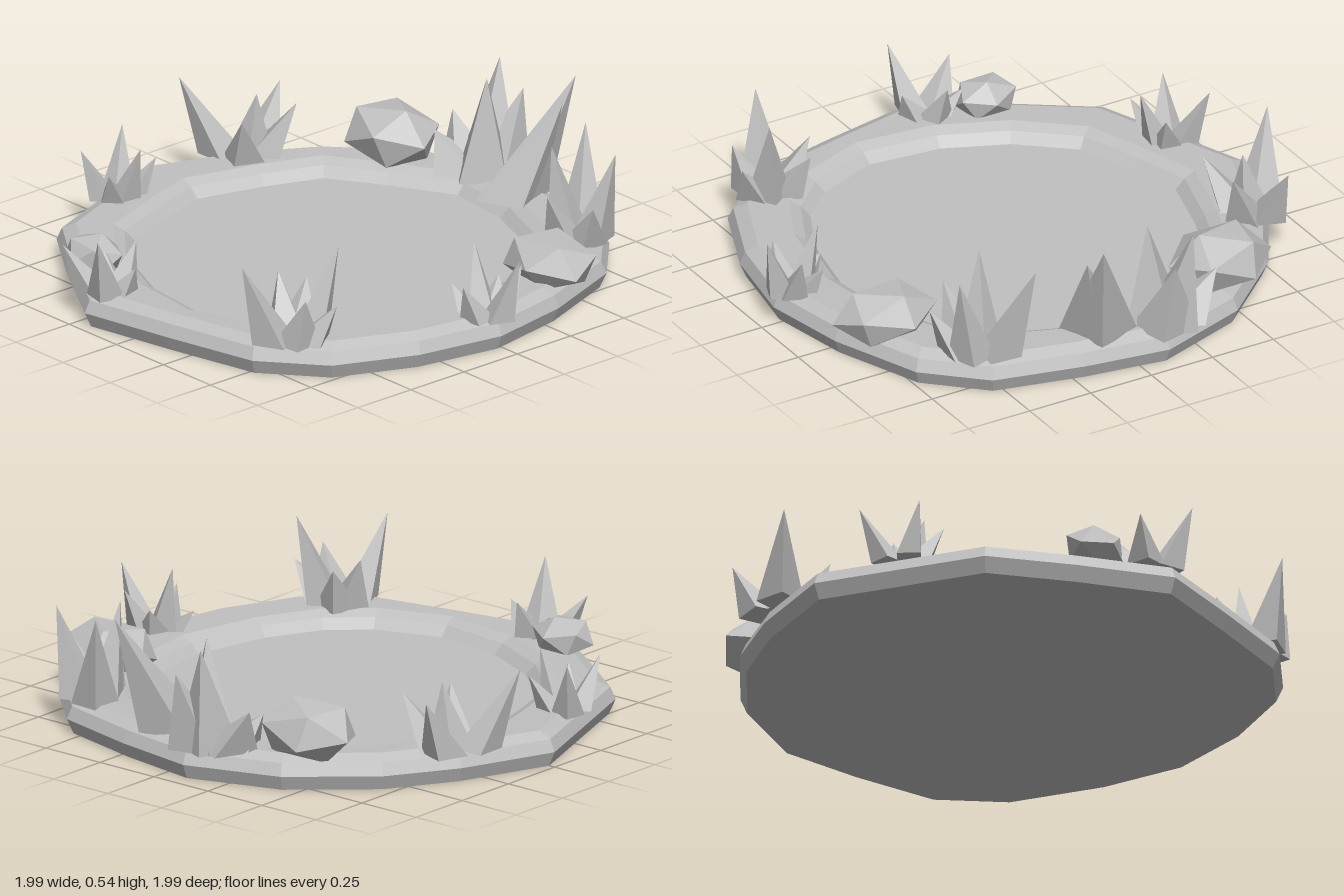
import * as THREE from 'three';

const stone = new THREE.MeshStandardMaterial({ color: 0xc0c0c0, flatShading: true });
stone.name = 'grey stone';

// irregular outlines of the dish, [x, z], outer edge and basin floor
const OUTER = [[0.94, 0.02], [0.88, 0.35], [0.75, 0.65], [0.53, 0.83], [0.17, 0.91], [-0.19, 0.98],
  [-0.5, 0.79], [-0.77, 0.6], [-0.885, 0.3], [-1, 0], [-0.87, -0.35], [-0.72, -0.6], [-0.45, -0.84],
  [-0.1, -0.96], [0.22, -0.91], [0.55, -0.83], [0.75, -0.64], [0.88, -0.3]];
const INNER = [[0.66, 0.01], [0.6, 0.3], [0.5, 0.5], [0.37, 0.62], [0.13, 0.71], [-0.14, 0.68],
  [-0.37, 0.58], [-0.56, 0.42], [-0.64, 0.2], [-0.7, 0], [-0.63, -0.25], [-0.55, -0.46], [-0.36, -0.58],
  [-0.12, -0.71], [0.14, -0.68], [0.4, -0.58], [0.52, -0.45], [0.62, -0.25]];

// cross-section from underside to basin floor: [outline, scale, y]
const SECTION = [[OUTER, 0, 0], [OUTER, 0.975, 0], [OUTER, 1, 0.055], [OUTER, 0.98, 0.1],
  [OUTER, 0.93, 0.122], [INNER, 1.11, 0.12], [INNER, 1.05, 0.1], [INNER, 1, 0.065], [INNER, 0, 0.065]];

function dishGeometry() {
  const n = OUTER.length, pos = [], idx = [];
  for (const [outline, s, y] of SECTION)
    for (const [x, z] of outline) pos.push(x * s, y, z * s);
  for (let r = 0; r < SECTION.length - 1; r++)
    for (let i = 0; i < n; i++) {
      const a = r * n + i, b = r * n + (i + 1) % n, c = a + n, d = b + n;
      if (r > 0) idx.push(a, c, b);
      if (r < SECTION.length - 2) idx.push(b, c, d);
      if (r === 0) idx.push(b, c, d);
    }
  const g = new THREE.BufferGeometry();
  g.setAttribute('position', new THREE.Float32BufferAttribute(pos, 3));
  g.setIndex(idx);
  g.computeVertexNormals();
  return g;
}

// leaning pyramid: base centre on the rim, apex at tip
function spike(bx, bz, r, tip, turn) {
  const base = new THREE.Vector3(bx, 0.11, bz);
  const g = new THREE.ConeGeometry(1, 1, 4).translate(0, 0.5, 0).rotateY(turn);
  const m = new THREE.Matrix4().makeBasis(
    new THREE.Vector3(r, 0, 0), new THREE.Vector3(...tip).sub(base), new THREE.Vector3(0, 0, r));
  g.applyMatrix4(m.setPosition(base));
  const mesh = new THREE.Mesh(g, stone);
  mesh.name = 'crystalSpike';
  return mesh;
}

// crystal clusters: centre [x, z], spike base radius, tips
const CLUSTERS = [
  { c: [-0.13, -0.83], r: 0.12, tips: [[-0.19, 0.5, -0.97], [-0.09, 0.49, -0.82], [-0.34, 0.28, -0.88], [-0.31, 0.24, -0.77], [-0.1, 0.4, -1]] },
  { c: [0.03, -0.69], r: 0.13, tips: [[0.19, 0.54, -0.99], [0.21, 0.46, -0.91]] },
  { c: [0.53, -0.7], r: 0.085, tips: [[0.39, 0.46, -0.86], [0.48, 0.46, -0.62], [0.65, 0.44, -0.77], [0.57, 0.32, -0.52], [0.69, 0.28, -0.63]] },
  { c: [-0.82, -0.33], r: 0.085, tips: [[-0.98, 0.4, -0.16], [-0.85, 0.33, -0.52], [-0.77, 0.35, -0.34], [-0.67, 0.32, -0.44], [-0.69, 0.3, -0.2]] },
  { c: [-0.83, 0.27], r: 0.06, tips: [[-0.93, 0.32, 0.15], [-0.88, 0.3, 0.39], [-0.71, 0.32, 0.26], [-0.74, 0.24, 0.38], [-0.75, 0.25, 0.15]] },
  { c: [-0.19, 0.86], r: 0.07, tips: [[-0.11, 0.35, 0.99], [-0.34, 0.26, 0.95], [-0.3, 0.21, 0.79], [-0.08, 0.22, 0.84], [-0.2, 0.26, 0.73]] },
  { c: [0.57, 0.68], r: 0.085, tips: [[0.51, 0.41, 0.86], [0.65, 0.45, 0.53], [0.43, 0.31, 0.62], [0.72, 0.26, 0.6], [0.69, 0.3, 0.72], [0.48, 0.28, 0.53]] },
  { c: [0.87, 0.03], r: 0.065, tips: [[0.99, 0.345, -0.02], [0.77, 0.36, 0], [0.9, 0.28, -0.11], [0.87, 0.25, 0.14], [0.72, 0.2, 0.06], [0.8, 0.22, -0.09]] },
];

// boulders: centre, half sizes, turn
const BOULDERS = [
  { p: [-0.46, 0.2, -0.7], s: [0.2, 0.12, 0.16], t: [0.3, 0.4, 0.2] },
  { p: [0.73, 0.17, -0.39], s: [0.2, 0.105, 0.15], t: [0.5, 0.2, 0.1] },
  { p: [-0.38, 0.165, 0.77], s: [0.125, 0.078, 0.1], t: [0.2, 0.9, 0.4] },
];

export function createModel() {
  const model = new THREE.Group();
  model.name = 'crystalRimmedDish';

  const dish = new THREE.Mesh(dishGeometry(), stone);
  dish.name = 'dish';
  model.add(dish);

  CLUSTERS.forEach(({ c, r, tips }, k) => {
    const cluster = new THREE.Group();
    cluster.name = 'crystalCluster' + (k + 1);
    tips.forEach((tip, i) => {
      // bases spread a little toward their own tips
      const bx = c[0] + (tip[0] - c[0]) * 0.35, bz = c[1] + (tip[2] - c[1]) * 0.35;
      cluster.add(spike(bx, bz, r, tip, Math.atan2(tip[0] - c[0], tip[2] - c[1]) + i * 0.3));
    });
    model.add(cluster);
  });

  BOULDERS.forEach(({ p, s, t }, k) => {
    const g = new THREE.IcosahedronGeometry(1, 0).rotateX(t[0]).rotateY(t[1]).rotateZ(t[2]);
    const boulder = new THREE.Mesh(g.scale(...s), stone);
    boulder.name = 'boulder' + (k + 1);
    boulder.position.set(...p);
    model.add(boulder);
  });
  return model;
}
